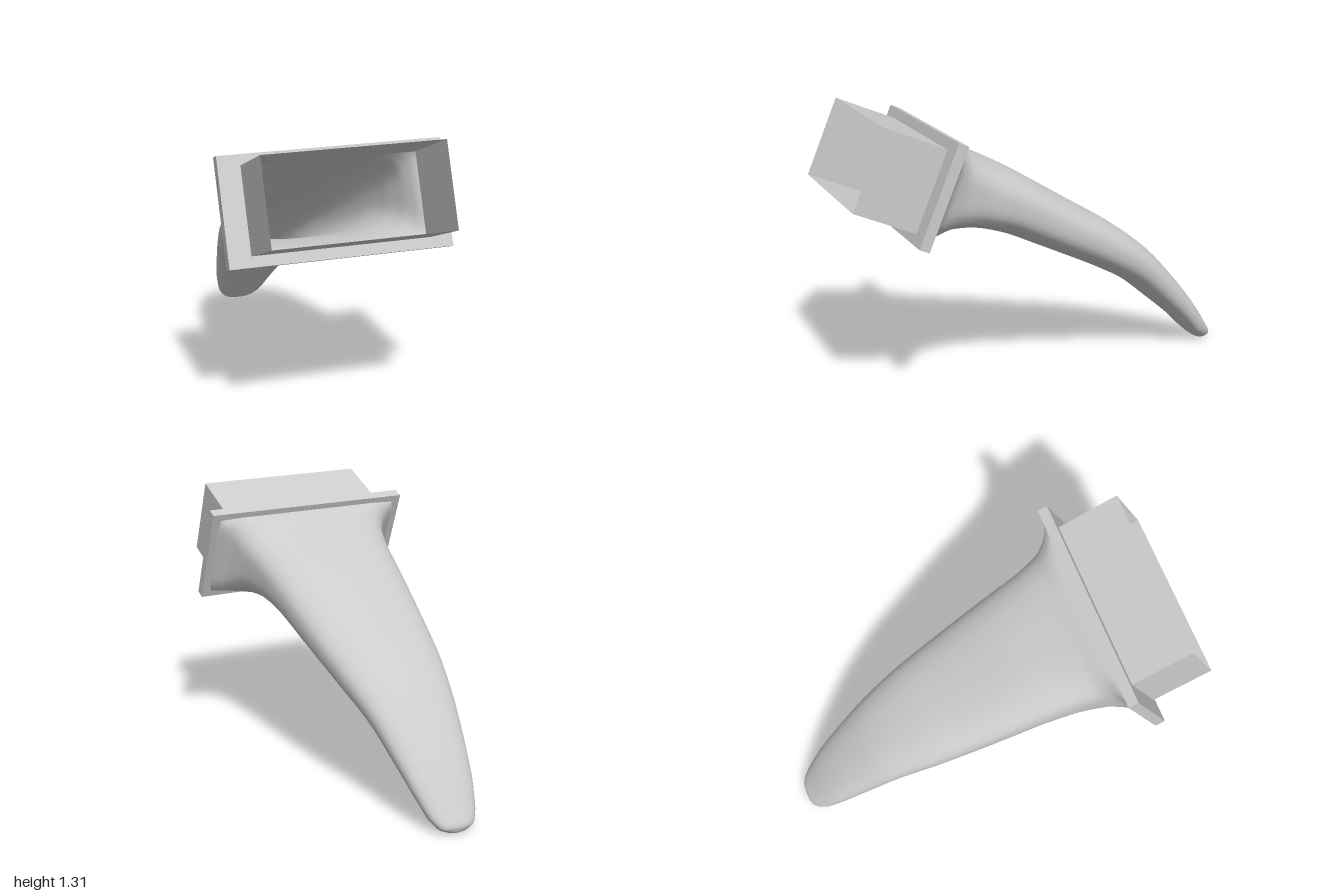
import * as THREE from 'three';

const material = new THREE.MeshStandardMaterial({ color: 0xcccccc, side: THREE.DoubleSide });

// Cross-sections from collar to tip: top z, top y, bottom z, bottom y, half width, squareness
const SECTIONS = [
  [0.503, 1.194, 0.67, 0.787, 0.495, 30],
  [0.46, 1.175, 0.61, 0.776, 0.43, 7],
  [0.40, 1.14, 0.52, 0.775, 0.395, 4],
  [0.28, 1.08, 0.38, 0.762, 0.365, 3.2],
  [0.12, 1.00, 0.20, 0.71, 0.342, 2.8],
  [-0.05, 0.90, 0.02, 0.63, 0.32, 2.7],
  [-0.20, 0.81, -0.12, 0.565, 0.30, 2.6],
  [-0.40, 0.69, -0.32, 0.47, 0.268, 2.5],
  [-0.60, 0.54, -0.50, 0.37, 0.225, 2.4],
  [-0.76, 0.37, -0.65, 0.25, 0.188, 2.4],
  [-0.88, 0.22, -0.78, 0.14, 0.155, 2.4],
  [-0.96, 0.10, -0.87, 0.05, 0.12, 2.4],
  [-0.993, 0.045, -0.92, 0.012, 0.085, 2.4],
  [-0.985, 0.015, -0.95, 0.005, 0.04, 2.2],
];

// Smooth loft of rounded-square rings, closed at the tip
function bladeGeometry(steps = 52, sides = 48) {
  const curve = (pick) => new THREE.CatmullRomCurve3(SECTIONS.map(pick));
  const tops = curve((s) => new THREE.Vector3(0, s[1], s[0]));
  const bottoms = curve((s) => new THREE.Vector3(0, s[3], s[2]));
  const shapes = curve((s) => new THREE.Vector3(s[4], 1 / s[5], 0));
  const positions = [];
  const index = [];
  for (let i = 0; i <= steps; i++) {
    const t = i / steps;
    const top = tops.getPoint(t);
    const bottom = bottoms.getPoint(t);
    const { x: halfWidth, y: softness } = shapes.getPoint(t);
    const n = 1 / Math.max(softness, 0.03);
    const centre = top.clone().add(bottom).multiplyScalar(0.5);
    const up = top.clone().sub(centre);
    for (let j = 0; j < sides; j++) {
      const a = (j / sides) * Math.PI * 2;
      const c = Math.cos(a);
      const s = Math.sin(a);
      const r = (Math.abs(c) ** n + Math.abs(s) ** n) ** (-1 / n);
      positions.push(halfWidth * r * c, centre.y + up.y * r * s, centre.z + up.z * r * s);
      if (i < steps) {
        const k = (j + 1) % sides;
        const p = i * sides;
        const q = p + sides;
        index.push(p + j, q + j, p + k, p + k, q + j, q + k);
      }
    }
  }
  // Tip cap
  const tip = positions.length / 3;
  positions.push(0, 0.006, -0.972);
  for (let j = 0; j < sides; j++) {
    index.push(steps * sides + j, tip, steps * sides + ((j + 1) % sides));
  }
  const geometry = new THREE.BufferGeometry();
  geometry.setAttribute('position', new THREE.Float32BufferAttribute(positions, 3));
  geometry.setIndex(index);
  geometry.computeVertexNormals();
  return geometry;
}

function rectangle(PathType, halfWidth, halfHeight) {
  return new PathType([
    new THREE.Vector2(-halfWidth, -halfHeight),
    new THREE.Vector2(halfWidth, -halfHeight),
    new THREE.Vector2(halfWidth, halfHeight),
    new THREE.Vector2(-halfWidth, halfHeight),
  ]);
}

function addMesh(parent, name, geometry) {
  const mesh = new THREE.Mesh(geometry, material);
  mesh.name = name;
  parent.add(mesh);
  return mesh;
}

export function createModel() {
  const model = new THREE.Group();
  model.name = 'curvedSpout';

  // Hollow curved blade
  addMesh(model, 'blade', bladeGeometry());

  // Tilted mount holding the collar and the socket
  const mount = new THREE.Group();
  mount.name = 'mount';
  mount.position.set(0, 1.0, 0.61);
  mount.rotation.x = -0.39;
  model.add(mount);

  // Rectangular collar with an opening
  const outline = rectangle(THREE.Shape, 0.53, 0.25);
  outline.holes.push(rectangle(THREE.Path, 0.425, 0.2));
  const collar = new THREE.ExtrudeGeometry(outline, { depth: 0.05, bevelEnabled: false });
  collar.translate(0, 0, -0.025);
  addMesh(mount, 'collar', collar);

  // Thin-walled socket: a box without its front and back faces
  const socket = new THREE.BoxGeometry(0.85, 0.4, 0.315);
  socket.setIndex(Array.from(socket.index.array.slice(0, 24)));
  socket.clearGroups();
  addMesh(mount, 'socket', socket).position.z = 0.1775;

  return model;
}
